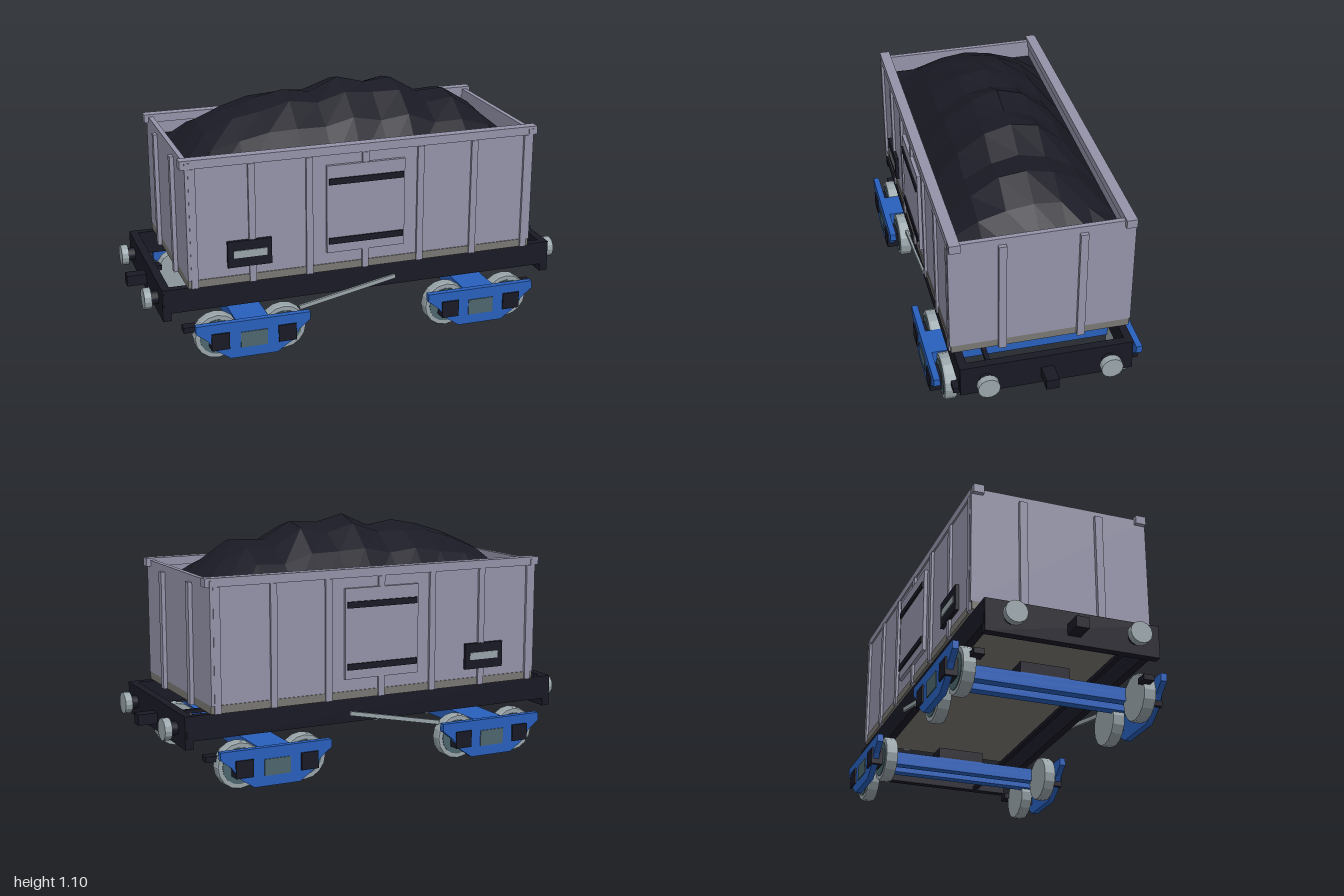
import * as THREE from 'three';

const mat = (name, color, extra = {}) => {
  const m = new THREE.MeshStandardMaterial({ color, ...extra });
  m.name = name;
  return m;
};

export function createModel() {
  const body = mat('body grey', 0x9493a9);
  const dark = mat('frame black', 0x191925);
  const coal = mat('coal', 0x1a1a25, { flatShading: true, side: THREE.DoubleSide });
  const blue = mat('bogie blue', 0x285fbc);
  const steel = mat('steel', 0x99a5aa, { flatShading: true });
  const tan = mat('floor tan', 0x797772);
  const slate = mat('slate', 0x4c666d);

  const root = new THREE.Group();
  root.name = 'coalWagon';

  const add = (parent, name, geometry, material) => {
    const mesh = new THREE.Mesh(geometry, material);
    mesh.name = name;
    parent.add(mesh);
    return mesh;
  };
  // Box given by its extents on each axis
  const box = (parent, name, material, [x0, x1], [y0, y1], [z0, z1]) => {
    const mesh = add(parent, name, new THREE.BoxGeometry(x1 - x0, y1 - y0, z1 - z0), material);
    mesh.position.set((x0 + x1) / 2, (y0 + y1) / 2, (z0 + z1) / 2);
    return mesh;
  };
  // Extents mirrored to the negative side when s is -1
  const side = (s, a, b) => (s > 0 ? [a, b] : [-b, -a]);
  const group = (name) => {
    const g = new THREE.Group();
    g.name = name;
    root.add(g);
    return g;
  };

  // Open-topped body
  const tub = group('body');
  box(tub, 'floor', tan, [-0.8, 0.8], [0.33, 0.365], [-0.392, 0.392]);
  for (const s of [1, -1]) {
    box(tub, 'sideWall', body, [-0.78, 0.78], [0.365, 0.88], side(s, 0.355, 0.388));
    box(tub, 'endWall', body, side(s, 0.778, 0.8), [0.365, 0.892], [-0.398, 0.398]);
    box(tub, 'sideRim', body, [-0.82, 0.82], [0.865, 0.903], side(s, 0.348, 0.395));
    for (let i = -3; i <= 3; i++) {
      const x = i * 0.257;
      box(tub, 'sidePost', body, [x - 0.015, x + 0.015], [0.33, 0.865], side(s, 0.38, 0.4));
    }
    for (const z of [-0.172, 0.172]) {
      box(tub, 'endPost', body, side(s, 0.795, 0.818), [0.33, 0.862], [z - 0.017, z + 0.017]);
    }
    // Loading door with its two bars
    box(tub, 'door', body, [-0.18, 0.18], [0.42, 0.82], side(s, 0.385, 0.404));
    for (const y of [0.475, 0.748]) {
      box(tub, 'doorBar', dark, [-0.172, 0.172], [y - 0.014, y + 0.014], side(s, 0.402, 0.411));
    }
    // Number plate
    box(tub, 'plate', dark, [-0.626, -0.43], [0.407, 0.525], side(s, 0.385, 0.404));
    box(tub, 'plateStripe', steel, [-0.6, -0.452], [0.45, 0.483], side(s, 0.4, 0.408));
  }

  // Heaped coal: a ridge profile along x scaled by a curve across z
  const ridge = [0, 0.135, 0.19, 0.23, 0.255, 0.235, 0.293, 0.26, 0.27, 0.195, 0.2, 0.12, 0];
  const across = [0, 0.57, 0.9, 1, 0.91, 0.57, 0];
  const heap = new THREE.PlaneGeometry(1.556, 0.71, 12, 6);
  heap.rotateX(-Math.PI / 2);
  const p = heap.attributes.position;
  for (let i = 0; i < p.count; i++) {
    const c = i % 13, r = Math.floor(i / 13);
    const wobble = r === 3 ? 1 : 0.98 + 0.04 * Math.sin(c * 2.3 + r * 4.1);
    p.setY(i, 0.81 + ridge[c] * across[r] * wobble);
  }
  heap.computeVertexNormals();
  add(root, 'coalHeap', heap, coal);

  // Underframe
  const frame = group('underframe');
  box(frame, 'brakePipe', dark, [-0.88, 0.88], [0.188, 0.206], [0.21, 0.23]);
  for (const s of [1, -1]) {
    box(frame, 'sill', dark, [-0.905, 0.905], [0.222, 0.33], side(s, 0.345, 0.38));
    box(frame, 'headstock', dark, side(s, 0.875, 0.912), [0.187, 0.33], [-0.378, 0.378]);
    box(frame, 'coupling', dark, side(s, 0.91, 1), [0.222, 0.27], [-0.028, 0.028]);
    for (const z of [-0.268, 0.268]) {
      const sleeve = add(frame, 'bufferSleeve', new THREE.CylinderGeometry(0.03, 0.03, 0.045, 14), dark);
      const head = add(frame, 'bufferHead', new THREE.CylinderGeometry(0.048, 0.048, 0.032, 14), steel);
      sleeve.rotation.z = head.rotation.z = Math.PI / 2;
      sleeve.position.set(s * 0.928, 0.258, z);
      head.position.set(s * 0.96, 0.258, z);
    }
    // Sloping brake lever on each side
    const lever = add(frame, 'brakeLever', new THREE.BoxGeometry(0.46, 0.019, 0.012), steel);
    lever.position.set(-0.078, 0.217, s * 0.384);
    lever.rotation.z = 0.2;
  }

  // Bogie side frame outline
  const outline = [[0.256, 0.183], [0.256, 0.148], [0.205, 0.108], [0.17, 0.058], [0.105, 0.014]];
  const points = [...outline, ...outline.map(([x, y]) => [-x, y]).reverse()];
  const shape = new THREE.Shape(points.map(([x, y]) => new THREE.Vector2(x, y)));
  const frameGeo = new THREE.ExtrudeGeometry(shape, { depth: 0.028, bevelEnabled: false });

  // Wheel with a slightly chamfered rim, axis along z
  const wheelGeo = new THREE.LatheGeometry(
    [[0, -0.027], [0.1, -0.027], [0.103, -0.022], [0.103, 0.018], [0.099, 0.026], [0, 0.026]]
      .map(([x, y]) => new THREE.Vector2(x, y)), 16);
  wheelGeo.rotateX(Math.PI / 2);
  const hubGeo = new THREE.CylinderGeometry(0.08, 0.08, 0.006, 16);
  hubGeo.rotateX(Math.PI / 2);

  for (const e of [1, -1]) {
    const bogie = group(e > 0 ? 'leftBogie' : 'rightBogie');
    bogie.position.x = e * 0.535;
    // Cross member: a top plate over two beams
    box(bogie, 'bolsterPlate', blue, [-0.074, 0.074], [0.155, 0.179], [-0.445, 0.445]);
    for (const x of [-0.052, 0.052]) {
      box(bogie, 'bolsterBeam', blue, [x - 0.022, x + 0.022], [0.118, 0.155], [-0.445, 0.445]);
    }
    box(bogie, 'pivotBlock', dark, [-0.074, 0.074], [0.179, 0.228], [-0.11, 0.11]);
    for (const s of [1, -1]) {
      const sideFrame = add(bogie, 'sideFrame', frameGeo, blue);
      sideFrame.position.z = s > 0 ? 0.441 : -0.469;
      box(bogie, 'springPanel', slate, [-0.06, 0.06], [0.06, 0.132], side(s, 0.466, 0.473));
      box(bogie, 'brakeBlock', dark, side(e, 0.235, 0.292), [0.125, 0.15], side(s, 0.345, 0.392));
      for (const x of [-0.15, 0.15]) {
        const wheel = add(bogie, 'wheel', wheelGeo, steel);
        wheel.position.set(x, 0.103, s * 0.393);
        if (s < 0) wheel.rotation.y = Math.PI;
        add(bogie, 'wheelHub', hubGeo, slate).position.set(x, 0.103, s * 0.419);
        box(bogie, 'axleBox', dark, [x - 0.04, x + 0.04], [0.063, 0.14], side(s, 0.42, 0.476));
      }
    }
  }
  return root;
}
